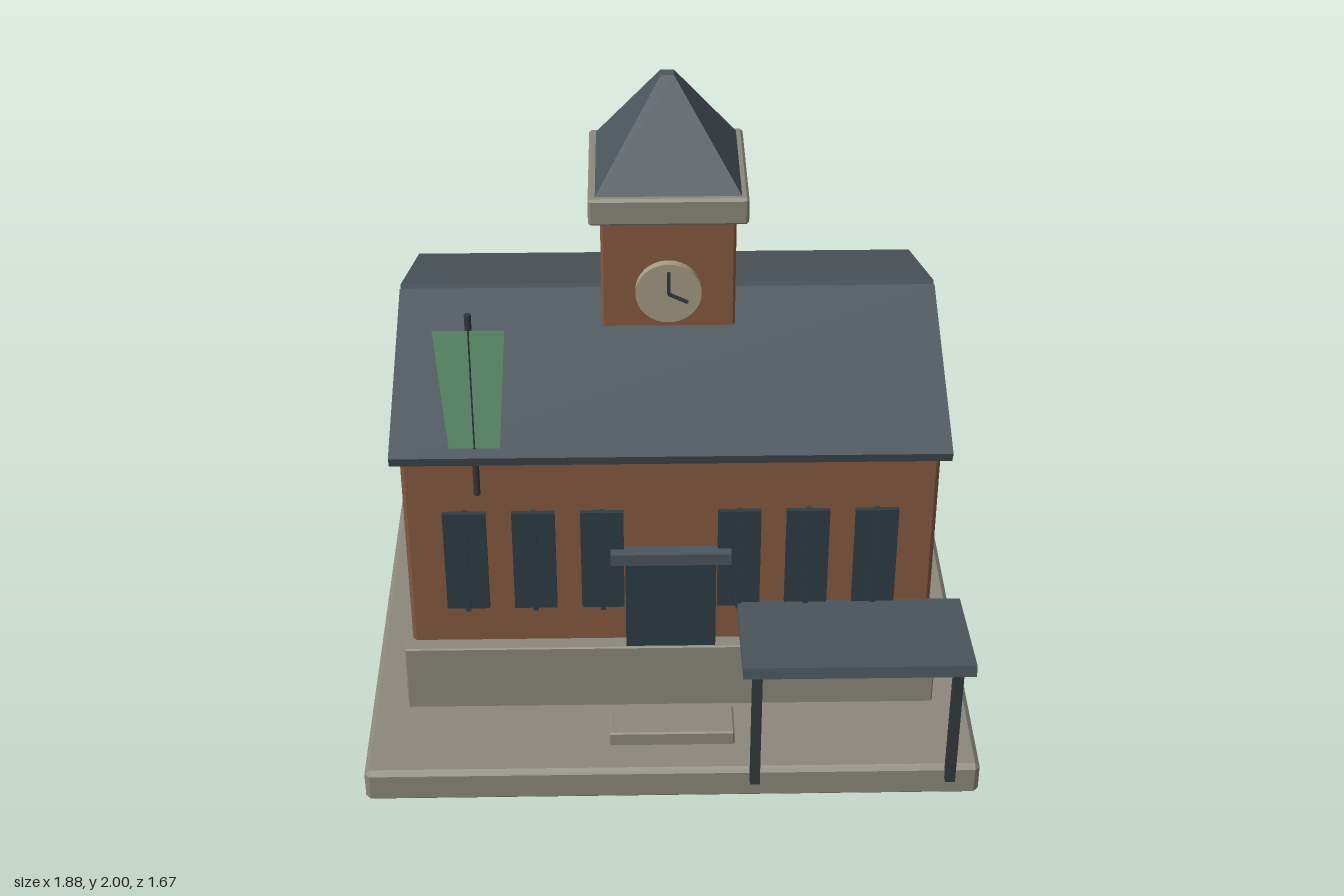
import * as THREE from 'three';
import { ConvexGeometry } from 'three/addons/geometries/ConvexGeometry.js';

const mat = (color, extra = {}) => new THREE.MeshStandardMaterial({ color, ...extra });
const brick = mat(0x85583f);
const stone = mat(0x8b877c);
const slate = mat(0x4c565d, { flatShading: true });
const dark = mat(0x2e3d44);
const iron = mat(0x30383c);
const clockFace = mat(0xa39a82);
const cloth = mat(0x69a077, { side: THREE.DoubleSide });

// Box with chamfered edges, as the hull of its 24 corner points
function chamferBox(w, h, d, c) {
  const points = [];
  for (const x of [-1, 1]) for (const y of [-1, 1]) for (const z of [-1, 1]) {
    for (let axis = 0; axis < 3; axis++) {
      const inset = [c, c, c];
      inset[axis] = 0;
      points.push(new THREE.Vector3(
        x * (w / 2 - inset[0]), y * (h / 2 - inset[1]), z * (d / 2 - inset[2])));
    }
  }
  return new ConvexGeometry(points);
}

export function createModel() {
  const model = new THREE.Group();
  model.name = 'stationHouse';

  const add = (name, geometry, material, x = 0, y = 0, z = 0, parent = model) => {
    const mesh = new THREE.Mesh(geometry, material);
    mesh.name = name;
    mesh.position.set(x, y, z);
    parent.add(mesh);
    return mesh;
  };
  // Box given by its extents on each axis
  const block = (name, material, [x0, x1], [y0, y1], [z0, z1], c = 0, parent = model) => {
    const size = [x1 - x0, y1 - y0, z1 - z0];
    const geometry = c ? chamferBox(...size, c) : new THREE.BoxGeometry(...size);
    return add(name, geometry, material, (x0 + x1) / 2, (y0 + y1) / 2, (z0 + z1) / 2, parent);
  };

  // Ground slab, walls and stonework
  block('baseSlab', stone, [-0.94, 0.94], [0, 0.115], [-0.835, 0.773], 0.015);
  block('mainWalls', brick, [-0.803, 0.803], [0.113, 1.033], [-0.657, 0.417], 0.012);
  block('stonePlinth', stone, [-0.826, 0.826], [0.11, 0.345], [0.39, 0.465], 0.004);
  block('doorStep', stone, [-0.193, 0.193], [0.11, 0.162], [0.528, 0.657], 0.005);

  // Round corner shaft on the left wall with a stone ring
  add('wallShaft', new THREE.CylinderGeometry(0.06, 0.06, 0.89, 24), brick, 0.765, 0.565, -0.395);
  const ring = add('shaftRing', new THREE.TorusGeometry(0.064, 0.014, 8, 28), stone, 0.765, 1.015, -0.395);
  ring.rotation.x = Math.PI / 2;

  // Two sloping roof slabs mirrored about the ridge
  const ridgeZ = -0.118;
  for (const side of [1, -1]) {
    const slab = add(side > 0 ? 'frontRoof' : 'backRoof',
      new THREE.BoxGeometry(1.652, 0.036, 0.642), slate, 0, 1.177, ridgeZ + side * 0.307);
    slab.rotation.x = side * 0.36;
  }

  // Clock tower
  const tower = new THREE.Group();
  tower.name = 'clockTower';
  tower.position.z = -0.165;
  model.add(tower);
  block('towerWalls', brick, [-0.203, 0.203], [1.02, 1.625], [-0.203, 0.203], 0.008, tower);
  block('towerCornice', stone, [-0.238, 0.238], [1.615, 1.702], [-0.238, 0.238], 0.008, tower);
  const spire = add('spire', new THREE.CylinderGeometry(0.02 * Math.SQRT2, 0.218 * Math.SQRT2, 0.3, 4),
    slate, 0, 1.85, 0, tower);
  spire.rotation.y = Math.PI / 4;

  // Clock dial and hands
  const dial = add('clockDial', new THREE.CylinderGeometry(0.1, 0.1, 0.03, 32), clockFace, 0, 1.38, 0.215, tower);
  dial.rotation.x = Math.PI / 2;
  for (const [name, length, angle] of [['minuteHand', 0.075, 0], ['hourHand', 0.065, -2.03]]) {
    const hand = add(name, new THREE.BoxGeometry(0.01, length, 0.008), iron,
      -Math.sin(angle) * length / 2, 1.38 + Math.cos(angle) * length / 2, 0.232, tower);
    hand.rotation.z = angle;
  }

  // Six windows, each with a central mullion
  for (const x of [-0.62, -0.413, -0.207, 0.207, 0.413, 0.62]) {
    const win = new THREE.Group();
    win.name = 'window';
    win.position.x = x;
    model.add(win);
    block('windowPane', dark, [-0.065, 0.065], [0.493, 0.848], [0.435, 0.45], 0, win);
    block('windowMullion', dark, [-0.008, 0.008], [0.488, 0.853], [0.435, 0.458], 0, win);
  }

  // Door and its lintel
  block('door', dark, [-0.138, 0.138], [0.13, 0.68], [0.43, 0.458]);
  block('doorLintel', slate, [-0.183, 0.183], [0.672, 0.712], [0.437, 0.48]);

  // Sloping porch roof on two posts
  const porch = add('porchRoof', new THREE.BoxGeometry(0.686, 0.038, 0.39), slate, 0.548, 0.511, 0.637);
  porch.rotation.x = -0.132;
  for (const x of [0.25, 0.846]) {
    block('porchPost', iron, [x - 0.015, x + 0.015], [0.073, 0.525], [0.764, 0.796]);
  }

  // Pole with a tapering banner
  add('bannerPole', new THREE.CylinderGeometry(0.01, 0.01, 0.62, 8), iron, -0.575, 1.235, 0.455);
  const banner = new THREE.Shape([[-0.103, 1.497], [-0.075, 1.095], [0.075, 1.095], [0.103, 1.497]]
    .map(([x, y]) => new THREE.Vector2(x, y)));
  add('banner', new THREE.ShapeGeometry(banner), cloth, -0.575, 0, 0.464);

  return model;
}
